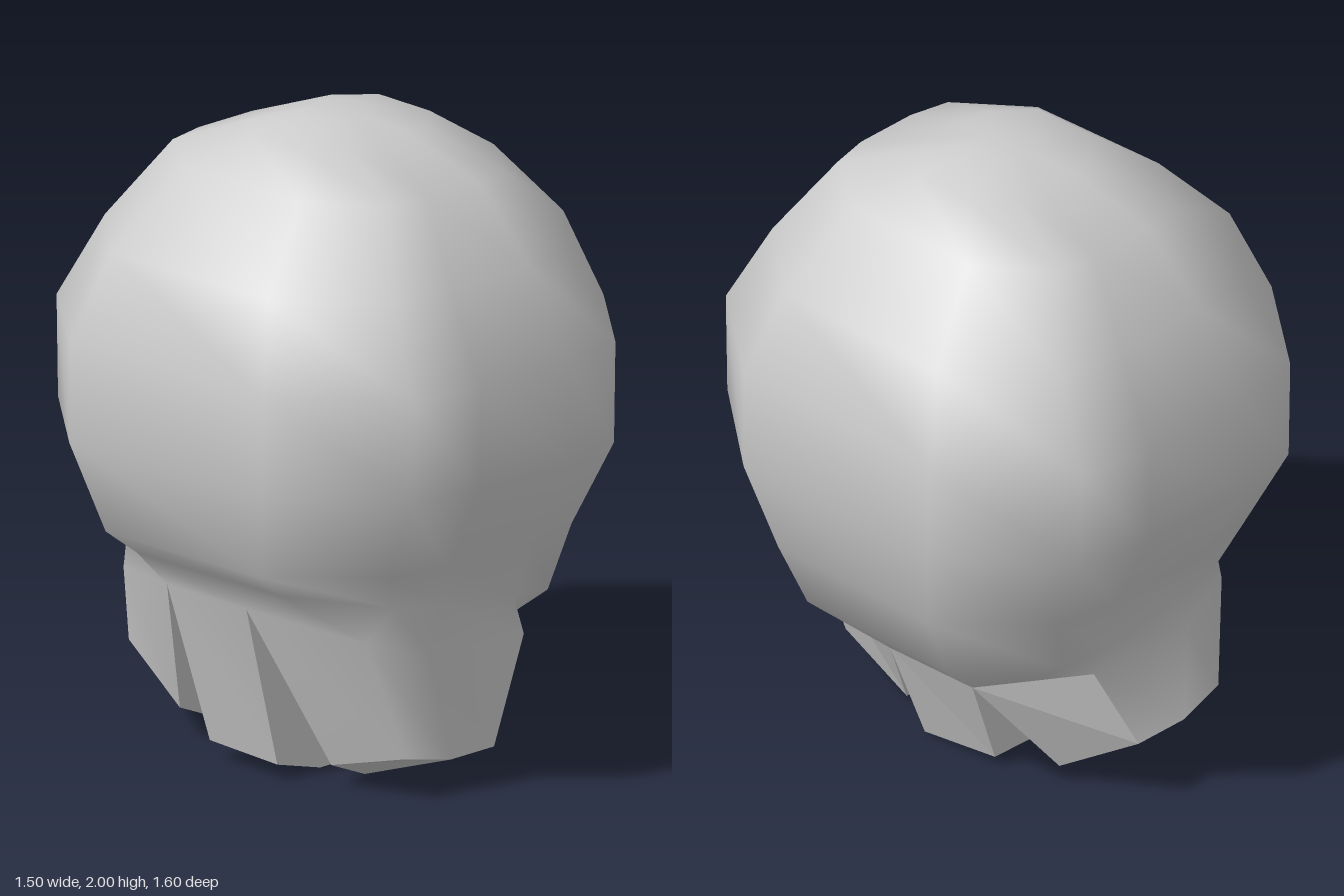
import * as THREE from 'three';
import { mergeVertices } from 'three/addons/utils/BufferGeometryUtils.js';

// Twelve-sided cross-section, front right corner first, counterclockwise from above
const quarter = [[0.27, 1], [0.6, 0.94], [1, 0.5]];
const right = [...quarter, ...[...quarter].reverse().map(([x, z]) => [x, -z])];
const section = [...right, ...right.map(([x, z]) => [-x, -z])];

// Body rings: height, half width, half depth, sideways tilt
const levels = [
  [2.0, 0.1, 0.1, 0], [1.965, 0.27, 0.22, 0], [1.86, 0.41, 0.49, 0],
  [1.62, 0.63, 0.65, 0], [1.35, 0.73, 0.8, 0], [1.03, 0.735, 0.79, 0],
  [0.75, 0.66, 0.64, 0], [0.59, 0.55, 0.6, 0.13],
];

// Uneven lower rim where the stubs begin
const rim = [
  [0.2, 0.44, 0.585], [0.275, 0.39, 0.363], [0.35, 0.34, 0.14],
  [0.35, 0.34, -0.2], [0.275, 0.405, -0.38], [0.2, 0.47, -0.56],
  [-0.2, 0.47, -0.57], [-0.4, 0.53, -0.52], [-0.53, 0.58, -0.2],
  [-0.53, 0.58, 0.14], [-0.4, 0.53, 0.52], [-0.2, 0.46, 0.59],
];
const innerFront = [-0.25, 0.35, 0.14];
const innerBack = [-0.25, 0.35, -0.2];

// Stubs: outline at the base and tip, and which walls flow into the body
const stubs = [
  {
    name: 'frontStub', smooth: [3, 4, 5],
    base: [rim[0], rim[2], innerFront, rim[9], rim[10], rim[11]],
    tip: [[0.08, 0.11, 0.58], [0.13, 0.02, 0.28], [-0.17, 0.01, 0.28],
      [-0.31, 0.07, 0.28], [-0.26, 0.14, 0.55], [-0.1, 0.11, 0.58]],
  },
  {
    name: 'middleStub', smooth: [3],
    base: [rim[2], rim[3], innerBack, rim[8], rim[9], innerFront],
    tip: [[0.22, 0, 0.12], [0.22, 0.03, -0.17], [-0.2, 0.02, -0.17],
      [-0.38, 0.06, -0.17], [-0.38, 0.05, 0.12], [-0.2, 0, 0.12]],
  },
  {
    name: 'backStub', smooth: [1, 2, 3],
    base: [rim[3], rim[5], rim[6], rim[7], rim[8], innerBack],
    tip: [[0.15, 0.05, -0.37], [0.1, 0.22, -0.65], [-0.1, 0.22, -0.65],
      [-0.28, 0.25, -0.62], [-0.31, 0.1, -0.37], [-0.17, 0.04, -0.37]],
  },
];

function quad(out, a, b, c, d) {
  out.push(...a, ...b, ...c, ...a, ...c, ...d);
}

function makeMesh(name, positions, smooth) {
  let geometry = new THREE.BufferGeometry();
  geometry.setAttribute('position', new THREE.Float32BufferAttribute(positions, 3));
  if (smooth) geometry = mergeVertices(geometry);
  geometry.computeVertexNormals();
  const material = new THREE.MeshStandardMaterial({ color: 0xcccccc, side: THREE.DoubleSide });
  const mesh = new THREE.Mesh(geometry, material);
  mesh.name = name;
  return mesh;
}

export function createModel() {
  const group = new THREE.Group();
  group.name = 'stubbedBulb';

  // Rounded body, slightly narrower towards the front
  const body = [];
  const rings = levels.map(([y, w, d, tilt]) => section.map(([sx, sz]) => {
    const x = sx * w, z = sz * d;
    return [x * (1 - 0.05 * z), y - tilt * x, z];
  }));
  rings.push(rim);
  for (let r = 0; r < rings.length - 1; r++) {
    for (let i = 0; i < 12; i++) {
      const j = (i + 1) % 12;
      quad(body, rings[r][i], rings[r + 1][i], rings[r + 1][j], rings[r][j]);
    }
  }
  // Flat crown
  for (let i = 0; i < 12; i++) {
    body.push(0, 2, 0, ...rings[0][i], ...rings[0][(i + 1) % 12]);
  }

  // Stubs: outer walls blend with the body, the rest is flat
  for (const { name, smooth, base, tip } of stubs) {
    const flat = [];
    for (let i = 0; i < 6; i++) {
      const j = (i + 1) % 6;
      quad(smooth.includes(i) ? body : flat, base[i], tip[i], tip[j], base[j]);
    }
    quad(flat, tip[5], tip[2], tip[1], tip[0]);
    quad(flat, tip[5], tip[4], tip[3], tip[2]);
    group.add(makeMesh(name, flat, false));
  }

  group.add(makeMesh('body', body, true));
  return group;
}
